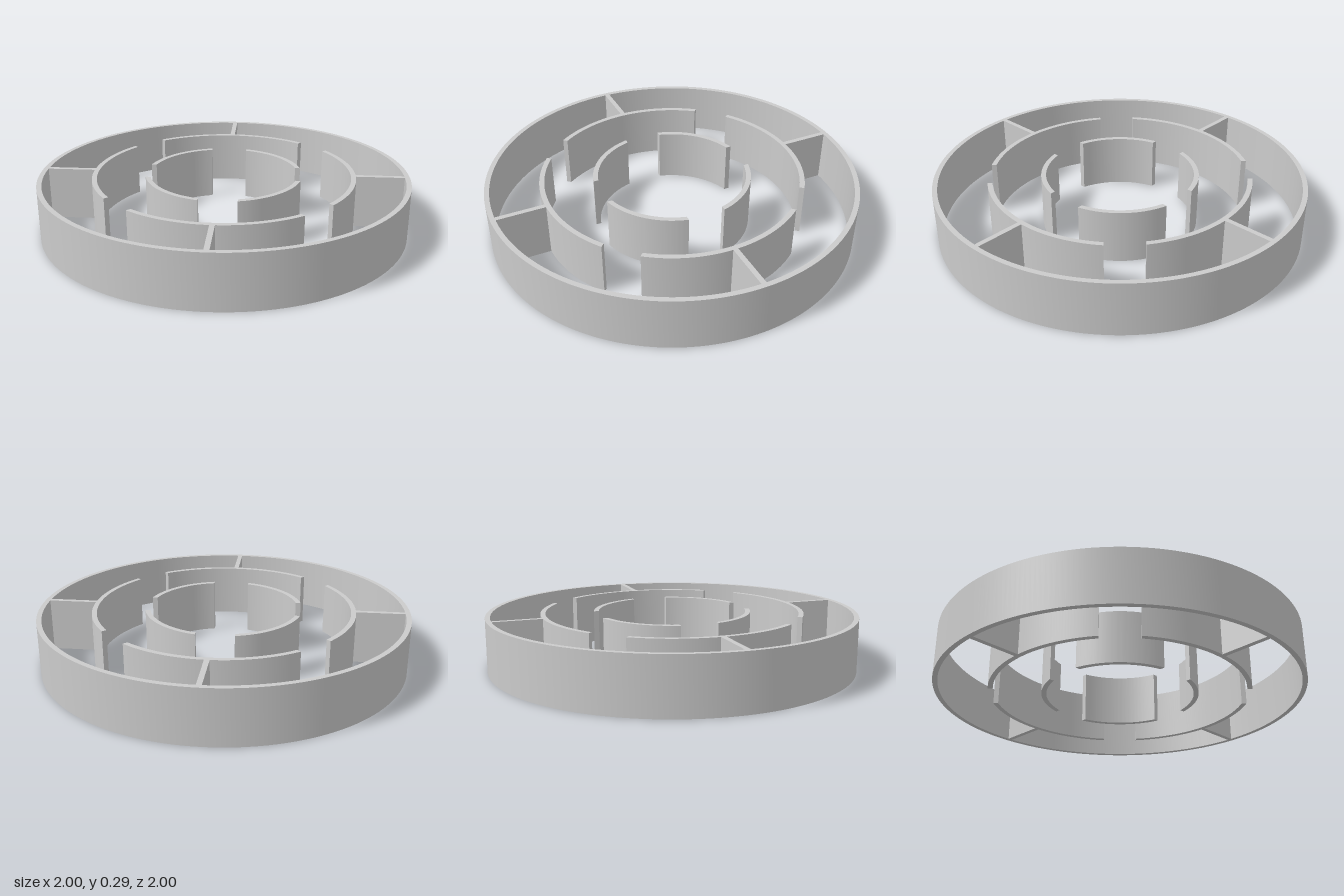
import * as THREE from 'three';
import { toCreasedNormals } from 'three/addons/utils/BufferGeometryUtils.js';

const HEIGHT = 0.289;
const WALL = 0.0267;
const SLOT = 0.1; // half width of the gaps between arcs
const OUTER = 1, MIDDLE = 0.713, INNER = 0.427;

const material = new THREE.MeshStandardMaterial({ color: 0xcccccc });

// Extrudes a plan outline upwards from the ground, smooth along its curves
function wall(name, shape, curveSegments) {
  const geometry = new THREE.ExtrudeGeometry(shape, { depth: HEIGHT, bevelEnabled: false, curveSegments });
  geometry.rotateX(-Math.PI / 2);
  const mesh = new THREE.Mesh(toCreasedNormals(geometry, 0.5), material);
  mesh.name = name;
  return mesh;
}

// Quarter of a ring centred on angle 0, with ends cut parallel to the slots at +-45 degrees
function arcShape(radius) {
  const inner = radius - WALL;
  const a = Math.PI / 4 - Math.asin(SLOT / radius);
  const b = Math.PI / 4 - Math.asin(SLOT / inner);
  const shape = new THREE.Shape();
  shape.absarc(0, 0, radius, -a, a, false);
  shape.absarc(0, 0, inner, b, -b, true);
  return shape;
}

export function createModel() {
  const model = new THREE.Group();
  model.name = 'concentricRings';

  // Closed outer ring
  const ring = new THREE.Shape().absarc(0, 0, OUTER, 0, Math.PI * 2, false);
  ring.holes.push(new THREE.Path().absarc(0, 0, OUTER - WALL, 0, Math.PI * 2, true));
  model.add(wall('outerRing', ring, 120));

  const ribStart = MIDDLE - WALL / 2, ribEnd = OUTER - WALL / 2;
  for (let i = 0; i < 4; i++) {
    const angle = i * Math.PI / 2;

    // Middle arc tied to the outer ring by a radial rib
    const sector = new THREE.Group();
    sector.name = 'middleSector';
    const rib = new THREE.Mesh(new THREE.BoxGeometry(ribEnd - ribStart, HEIGHT, WALL), material);
    rib.name = 'rib';
    rib.position.set((ribStart + ribEnd) / 2, HEIGHT / 2, 0);
    sector.add(wall('middleArc', arcShape(MIDDLE), 30), rib);
    sector.rotation.y = angle;
    model.add(sector);

    // Free-standing inner arc, turned to face the middle slots
    const innerArc = wall('innerArc', arcShape(INNER), 30);
    innerArc.rotation.y = angle + Math.PI / 4;
    model.add(innerArc);
  }
  return model;
}
